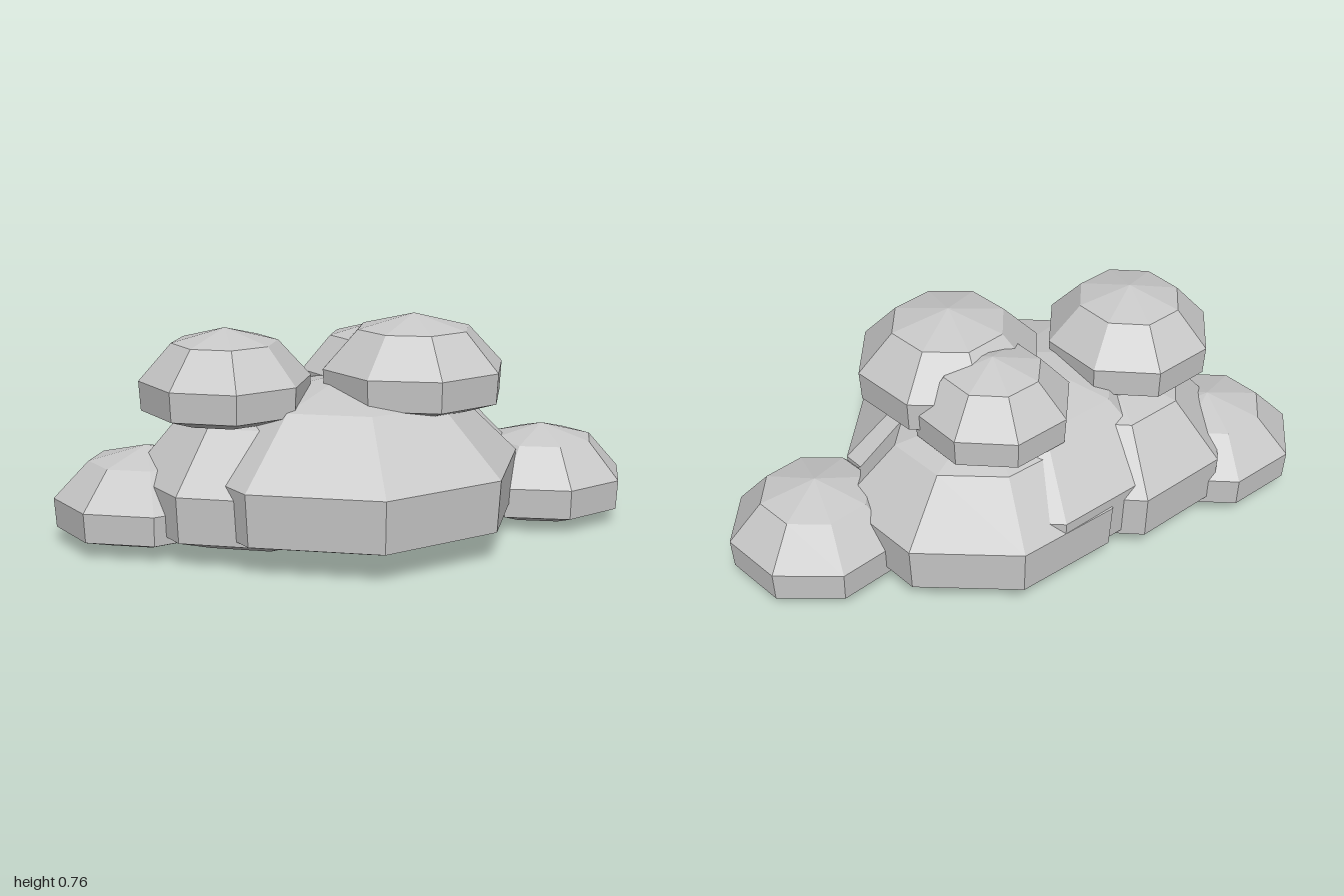
import * as THREE from 'three';

// Low-poly puff: eight-sided sphere of five bands, its lower half pressed nearly flat.
// r is the radius of the widest ring, stretched along x by sx; h is the dome height above its centre.
function puffGeometry(r, sx, h) {
  const g = new THREE.SphereGeometry(1, 8, 5).toNonIndexed();
  const p = g.attributes.position;
  const widest = Math.sin(Math.PI * 0.4);
  for (let i = 0; i < p.count; i++) {
    const y = p.getY(i);
    const k = (r / widest) * (y < 0 ? 0.98 : 1);
    p.setXYZ(i, p.getX(i) * k * sx, y * h * (y < 0 ? 0.3 : 1), p.getZ(i) * k);
  }
  g.computeVertexNormals();
  return g;
}

export function createModel() {
  const model = new THREE.Group();
  model.name = 'cloud';
  const grey = new THREE.MeshStandardMaterial({ color: 0xc8c8c8, flatShading: true });
  grey.name = 'cloud grey';

  // name, centre x y z, ring radius, x stretch, dome height, yaw
  const puffs = [
    ['frontBody', -0.015, 0.137, 0.025, 0.55, 1.05, 0.43, 0],
    ['backLeftBody', 0.14, 0.112, -0.15, 0.43, 1.12, 0.38, 0],
    ['backRightBody', -0.32, 0.115, -0.03, 0.43, 1, 0.38, 0],
    ['leftTopPuff', 0.19, 0.507, 0.06, 0.31, 1, 0.253, 0.06],
    ['rightTopPuff', -0.435, 0.49, 0.05, 0.29, 0.97, 0.24, 0],
    ['backTopPuff', 0.11, 0.47, -0.16, 0.26, 1, 0.23, 0],
    ['leftLowPuff', 0.7, 0.072, -0.12, 0.29, 1.02, 0.253, 0.06],
    ['rightLowPuff', -0.69, 0.076, -0.085, 0.295, 1.05, 0.245, 0],
  ];
  for (const [name, x, y, z, r, sx, h, yaw] of puffs) {
    const mesh = new THREE.Mesh(puffGeometry(r, sx, h), grey);
    mesh.name = name;
    mesh.position.set(x, y, z);
    mesh.rotation.y = yaw;
    model.add(mesh);
  }
  return model;
}
